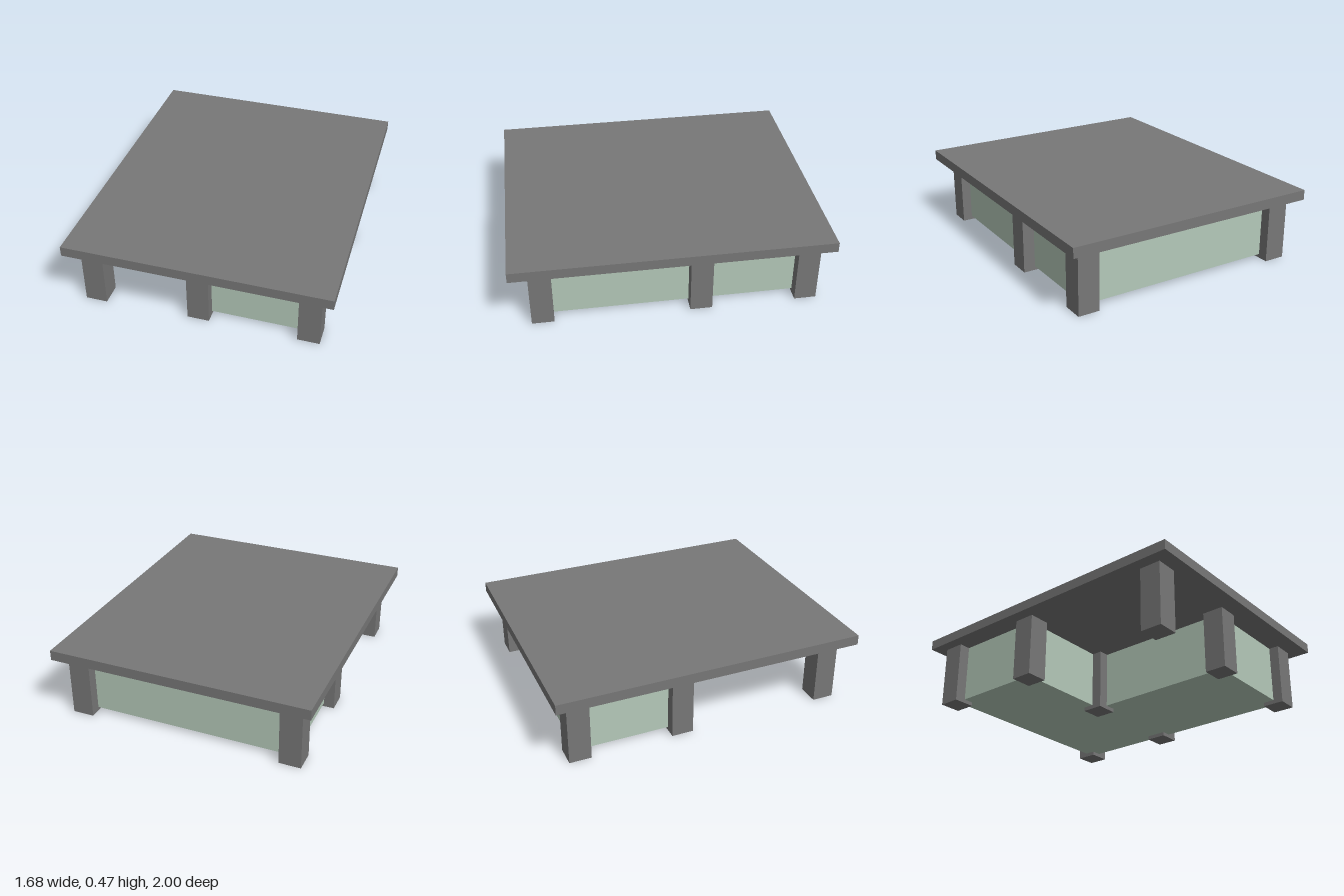
import * as THREE from 'three';

const SLAB_BOTTOM = 0.41;
const HEIGHT = 0.475;
const POST = 0.14;
const FLOOR = 0.025;

export function createModel() {
  const model = new THREE.Group();
  model.name = 'pavilion';
  const concrete = new THREE.MeshStandardMaterial({ color: 0x777777, flatShading: true });
  const glass = new THREE.MeshStandardMaterial({ color: 0xb4c9b9, flatShading: true });

  // Flat roof slab
  const roof = new THREE.Mesh(new THREE.BoxGeometry(1.68, HEIGHT - SLAB_BOTTOM, 2), concrete);
  roof.name = 'roofSlab';
  roof.position.y = (HEIGHT + SLAB_BOTTOM) / 2;
  model.add(roof);

  // Square posts, slightly off a regular grid: [name, x, z]
  const posts = [
    ['frontLeftPost', 0.687, 0.816],
    ['frontMiddlePost', -0.015, 0.816],
    ['frontRightPost', -0.692, 0.833],
    ['middleLeftPost', 0.701, -0.176],
    ['innerCornerPost', -0.014, -0.18],
    ['middleRightPost', -0.692, -0.182],
    ['backLeftPost', 0.698, -0.851],
    ['backRightPost', -0.699, -0.851],
  ];
  const postGeometry = new THREE.BoxGeometry(POST, SLAB_BOTTOM, POST);
  for (const [name, x, z] of posts) {
    const post = new THREE.Mesh(postGeometry, concrete);
    post.name = name;
    post.position.set(x, SLAB_BOTTOM / 2, z);
    model.add(post);
  }

  // L-shaped glazed room, leaving an open porch at the front right corner;
  // the plan is drawn with shape y = -z
  const plan = new THREE.Shape([
    [-0.695, 0.853], [-0.695, 0.18], [-0.015, 0.18],
    [-0.015, -0.82], [0.695, -0.82], [0.695, 0.853],
  ].map(([x, y]) => new THREE.Vector2(x, y)));
  const roomGeometry = new THREE.ExtrudeGeometry(plan, { depth: SLAB_BOTTOM - FLOOR, bevelEnabled: false });
  roomGeometry.rotateX(-Math.PI / 2);
  const room = new THREE.Mesh(roomGeometry, glass);
  room.name = 'glazedRoom';
  room.position.y = FLOOR;
  model.add(room);

  return model;
}
